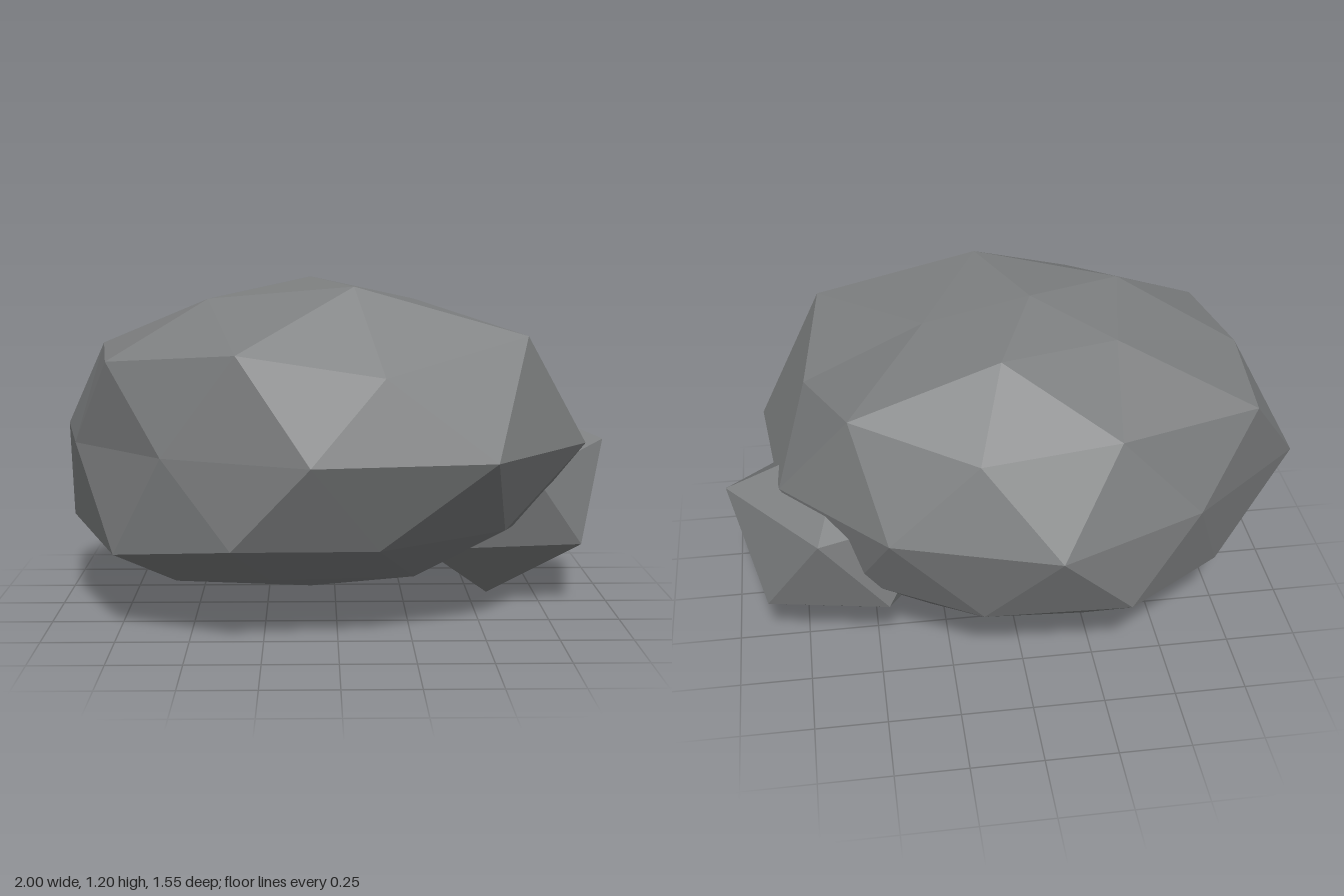
import * as THREE from 'three';

const stone = new THREE.MeshStandardMaterial({ color: 0x7d7f80, flatShading: true });
stone.name = 'grey stone';

// Collects triangles and turns each one to face away from the rock's centre
function facets() {
  const positions = [];
  const n = new THREE.Vector3(), e = new THREE.Vector3(), mid = new THREE.Vector3();
  const tri = (...corners) => {
    const [a, b, c] = corners.map((p) => new THREE.Vector3(...p));
    n.subVectors(b, a).cross(e.subVectors(c, a));
    mid.copy(a).add(b).add(c);
    const order = n.dot(mid) < 0 ? [a, c, b] : [a, b, c];
    order.forEach((v) => positions.push(v.x, v.y, v.z));
  };
  const build = () => {
    const g = new THREE.BufferGeometry();
    g.setAttribute('position', new THREE.Float32BufferAttribute(positions, 3));
    g.computeVertexNormals();
    return g;
  };
  return { tri, build };
}

function rockMesh(name, geometry, x, y, z) {
  const mesh = new THREE.Mesh(geometry, stone);
  mesh.name = name;
  mesh.position.set(x, y, z);
  return mesh;
}

const at = (ring, i) => ring[i % ring.length];

// Zig-zag band between two ten-sided rings half a step apart
function band(tri, ring, equator) {
  for (let j = 0; j < 10; j++) {
    tri(at(ring, j), at(equator, j), at(ring, j + 1));
    tri(at(equator, j), at(equator, j + 1), at(ring, j + 1));
  }
}

// Cap from a ten-sided ring through a five-sided ring to a pole
function cap(tri, pole, five, ten, shift) {
  for (let k = 0; k < 5; k++) {
    const i = 2 * k + shift, a = at(five, k), b = at(five, k + 1);
    tri(pole, a, b);
    tri(a, at(ten, i), at(ten, i + 1));
    tri(a, at(ten, i + 1), b);
    tri(b, at(ten, i + 1), at(ten, i + 2));
  }
}

// Large boulder: uneven, once-subdivided icosahedron, rings start at +x and run towards +z
function boulderGeometry() {
  const crown = [[0.37, 0.48, 0], [0.145, 0.545, 0.39], [-0.35, 0.495, 0.22],
    [-0.27, 0.475, -0.195], [0.145, 0.51, -0.345]];
  const shoulder = [[0.79, 0.28, 0], [0.72, 0.385, 0.445], [0.24, 0.27, 0.66],
    [-0.24, 0.34, 0.63], [-0.68, 0.3, 0.42], [-0.74, 0.325, 0],
    [-0.71, 0.31, -0.425], [-0.22, 0.315, -0.575], [0.245, 0.28, -0.6], [0.655, 0.35, -0.385]];
  const equator = [[0.95, 0.27], [0.6, 0.69], [0, 0.775], [-0.49, 0.57], [-0.815, 0.23],
    [-0.91, -0.235], [-0.505, -0.565], [0, -0.78], [0.55, -0.61], [0.9, -0.23]]
    .map(([x, z]) => [x, 0, z]);
  const flank = [[0.76, -0.34, 0], [0.66, -0.28, 0.4], [0.225, -0.305, 0.6],
    [-0.26, -0.29, 0.67], [-0.67, -0.355, 0.42], [-0.86, -0.3, 0],
    [-0.62, -0.34, -0.39], [-0.26, -0.3, -0.665], [0.24, -0.33, -0.61], [0.66, -0.29, -0.41]];
  const base = [[0.36, -0.475, 0.26], [-0.14, -0.465, 0.345], [-0.495, -0.555, 0],
    [-0.15, -0.555, -0.375], [0.39, -0.54, -0.27]];

  const { tri, build } = facets();
  cap(tri, [0, 0.56, 0], crown, shoulder, 0);
  band(tri, shoulder, equator);
  band(tri, flank, equator);
  cap(tri, [0, -0.575, 0], base, flank, 1);
  return build();
}

// Small stone: uneven icosahedron
function smallStoneGeometry() {
  const top = [0, 0.38, 0], bottom = [0, -0.387, 0];
  const upper = [[0.425, 0.2, 0], [0.12, 0.13, 0.355], [-0.3, 0.17, 0.2],
    [-0.3, 0.17, -0.21], [0.12, 0.18, -0.36]];
  const lower = [[0.315, -0.15, 0.225], [-0.11, -0.14, 0.325], [-0.34, -0.15, 0],
    [-0.11, -0.13, -0.325], [0.31, -0.15, -0.225]];

  const { tri, build } = facets();
  for (let k = 0; k < 5; k++) {
    tri(top, at(upper, k), at(upper, k + 1));
    tri(at(upper, k), at(lower, k), at(upper, k + 1));
    tri(at(lower, k), at(lower, k + 1), at(upper, k + 1));
    tri(bottom, at(lower, k), at(lower, k + 1));
  }
  return build();
}

export function createModel() {
  const group = new THREE.Group();
  group.name = 'rocks';
  group.add(
    rockMesh('boulder', boulderGeometry(), -0.09, 0.64, 0),
    rockMesh('smallStone', smallStoneGeometry(), 0.572, 0.39, -0.13),
  );
  return group;
}
